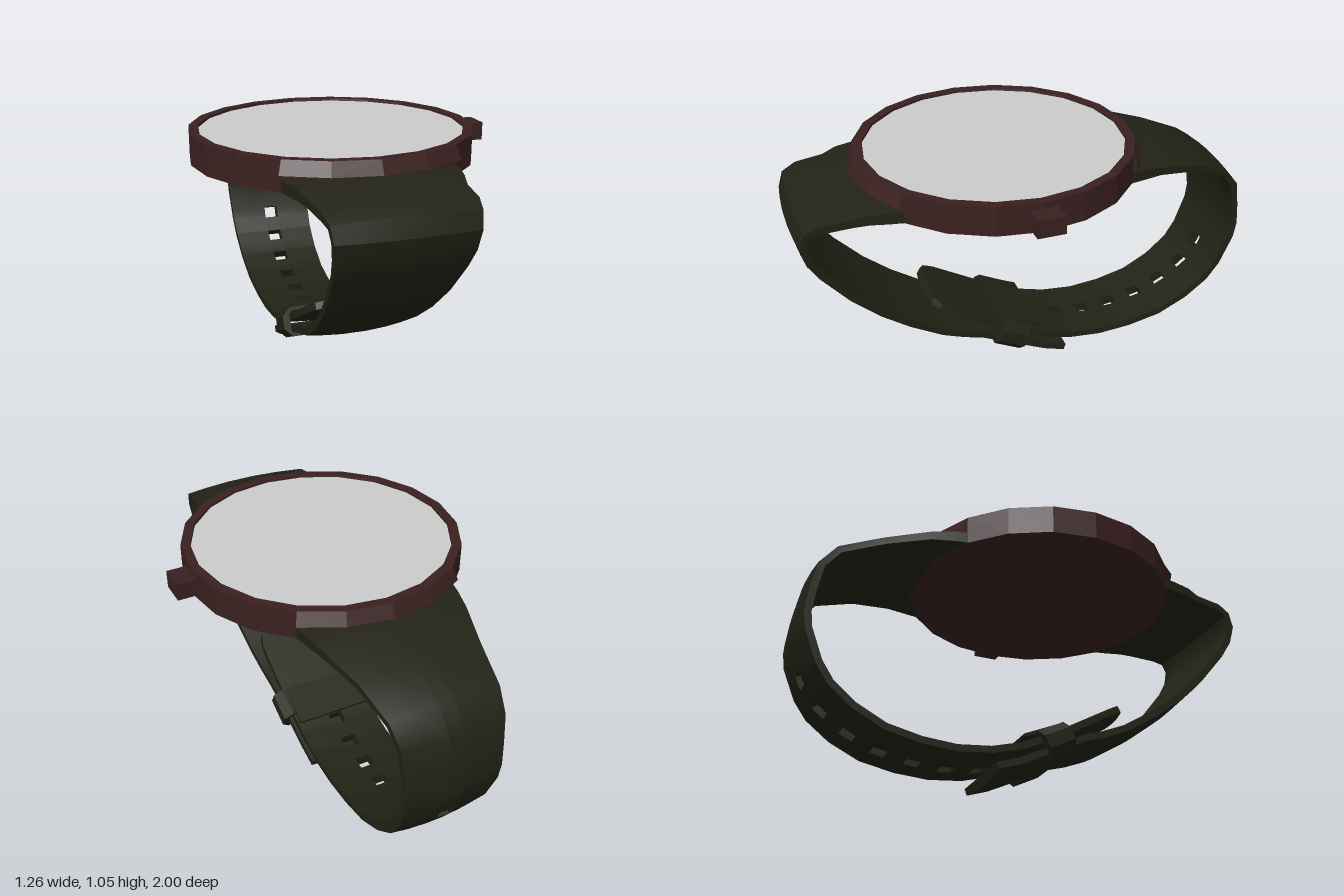
import * as THREE from 'three';
import { toCreasedNormals } from 'three/addons/utils/BufferGeometryUtils.js';

const CX = -0.04, CZ = 0.11; // centre of the case

const strapMat = new THREE.MeshStandardMaterial({ color: 0x222216 });
const caseMat = new THREE.MeshStandardMaterial({ color: 0x3a2020, flatShading: true });
const glassMat = new THREE.MeshStandardMaterial({ color: 0xcccccc });

function add(group, name, geometry, material, x = 0, y = 0, z = 0) {
  const mesh = new THREE.Mesh(geometry, material);
  mesh.name = name;
  mesh.position.set(x, y, z);
  group.add(mesh);
  return mesh;
}

// Stations are [z, y, halfWidth, thickness]; adds arc length and outward normal
function prepare(stations, side) {
  let s = 0;
  return stations.map(([z, y, w, t], i) => {
    const a = stations[Math.max(i - 1, 0)], b = stations[Math.min(i + 1, stations.length - 1)];
    if (i) s += Math.hypot(z - a[0], y - a[1]);
    const dz = b[0] - a[0], dy = b[1] - a[1], l = Math.hypot(dz, dy);
    return { s, z, y, w, t, nz: -side * dy / l, ny: side * dz / l };
  });
}

function stationAt(path, s) {
  let i = 1;
  while (i < path.length - 1 && path[i].s < s) i++;
  const a = path[i - 1], b = path[i], k = (s - a.s) / (b.s - a.s), out = {};
  for (const key in a) out[key] = a[key] + (b[key] - a[key]) * k;
  return out;
}

// Closed sweep from arc length s0 to s1; cols maps a half width to x offsets
function sweep(path, side, cuts, s0, s1, cols) {
  const pos = [];
  const rings = cuts.filter(s => s > s0 - 1e-5 && s < s1 + 1e-5).map(s => {
    const p = stationAt(path, s), xs = cols(p.w);
    const point = (x, outer) => {
      const crown = outer ? 0.35 * p.t * (x / p.w) ** 2 : 0;
      const n = outer ? p.t / 2 - crown : -p.t / 2;
      return [CX + x, p.y + p.ny * n, p.z + p.nz * n];
    };
    return [...xs.map(x => point(x, false)), ...xs.slice().reverse().map(x => point(x, true))];
  });
  const quad = (a, b, c, d) => {
    if (side > 0) pos.push(...a, ...b, ...c, ...a, ...c, ...d);
    else pos.push(...a, ...c, ...b, ...a, ...d, ...c);
  };
  const n = rings[0].length, first = rings[0], last = rings[rings.length - 1];
  for (let r = 0; r < rings.length - 1; r++) {
    for (let i = 0; i < n; i++) {
      const j = (i + 1) % n;
      quad(rings[r][i], rings[r][j], rings[r + 1][j], rings[r + 1][i]);
    }
  }
  for (let j = 0; j < n / 2 - 1; j++) {
    quad(first[j], first[n - 1 - j], first[n - 2 - j], first[j + 1]);
    quad(last[j], last[j + 1], last[n - 2 - j], last[n - 1 - j]);
  }
  const g = new THREE.BufferGeometry();
  g.setAttribute('position', new THREE.Float32BufferAttribute(pos, 3));
  return toCreasedNormals(g, 0.55);
}

// Strap with an optional row of slots down the middle
function makeStrap(name, stations, side, holes = []) {
  const group = new THREE.Group();
  group.name = name;
  const path = prepare(stations, side), end = path[path.length - 1].s;
  const cuts = [...path.map(p => p.s), ...holes.flat()].sort((a, b) => a - b)
    .filter((s, i, all) => !i || s - all[i - 1] > 1e-4);
  if (!holes.length) {
    add(group, 'strapBand', sweep(path, side, cuts, 0, end,
      w => [-1, -0.65, -0.25, 0.25, 0.65, 1].map(k => k * w)), strapMat);
    return group;
  }
  const slot = 0.033;
  add(group, 'strapRightRail', sweep(path, side, cuts, 0, end, w => [-w, -0.6 * w, -slot]), strapMat);
  add(group, 'strapLeftRail', sweep(path, side, cuts, 0, end, w => [slot, 0.6 * w, w]), strapMat);
  let from = 0;
  for (const [a, b] of [...holes, [end, end]]) {
    add(group, 'strapBridge', sweep(path, side, cuts, from, a, () => [-slot, slot]), strapMat);
    from = b;
  }
  return group;
}

export function createModel() {
  const model = new THREE.Group();
  model.name = 'wristwatch';

  // Twenty-sided case with a raised rim
  const profile = [[0, 0.93], [0.59, 0.93], [0.59, 1.055], [0.55, 1.055], [0.548, 1.042]]
    .map(p => new THREE.Vector2(...p));
  add(model, 'case', new THREE.LatheGeometry(profile, 20), caseMat, CX, 0, CZ);
  const glass = new THREE.CircleGeometry(0.55, 20).rotateX(-Math.PI / 2);
  add(model, 'glass', glass, glassMat, CX, 1.045, CZ);

  // Sloping lips of the case above each strap
  for (const centre of [0, Math.PI]) {
    const lip = new THREE.CylinderGeometry(0.59, 0.617, 0.055, 4, 1, true, centre - Math.PI / 5, Math.PI * 0.4);
    const lipMat = caseMat.clone();
    lipMat.side = THREE.DoubleSide;
    add(model, 'caseLip', lip, lipMat, CX, 1.0275, CZ);
  }

  // Crown
  add(model, 'crown', new THREE.BoxGeometry(0.1, 0.075, 0.115), caseMat, 0.58, 0.992, 0.11);

  // Short strap at the front, running under the buckle
  model.add(makeStrap('frontStrap', [
    [0.57, 0.967, 0.352, 0.072], [0.64, 0.967, 0.34, 0.072], [0.72, 0.964, 0.322, 0.066],
    [0.78, 0.948, 0.306, 0.05], [0.9, 0.936, 0.295, 0.048], [0.955, 0.91, 0.283, 0.048],
    [0.975, 0.85, 0.276, 0.048], [0.955, 0.77, 0.268, 0.046], [0.91, 0.695, 0.258, 0.046],
    [0.8, 0.56, 0.244, 0.046], [0.68, 0.445, 0.229, 0.046], [0.56, 0.355, 0.217, 0.046],
    [0.42, 0.27, 0.206, 0.046], [0.32, 0.229, 0.2, 0.046], [0.24, 0.205, 0.197, 0.046],
    [0.1, 0.136, 0.19, 0.046], [-0.06, 0.06, 0.186, 0.046], [-0.155, 0.029, 0.185, 0.046],
  ], 1));

  // Long slotted strap at the back, passing through the buckle
  const holes = Array.from({ length: 9 }, (_, i) => [1.04 + i * 0.14, 1.1 + i * 0.14]);
  model.add(makeStrap('backStrap', [
    [-0.35, 0.967, 0.352, 0.072], [-0.42, 0.967, 0.34, 0.072], [-0.52, 0.955, 0.318, 0.054],
    [-0.7, 0.912, 0.268, 0.046], [-0.875, 0.845, 0.238, 0.046], [-0.942, 0.765, 0.225, 0.046],
    [-0.965, 0.65, 0.216, 0.046], [-0.977, 0.55, 0.211, 0.046], [-0.968, 0.48, 0.208, 0.046],
    [-0.915, 0.345, 0.202, 0.046], [-0.86, 0.265, 0.198, 0.046], [-0.76, 0.185, 0.194, 0.046],
    [-0.63, 0.12, 0.19, 0.046], [-0.48, 0.088, 0.187, 0.046], [-0.33, 0.077, 0.185, 0.046],
    [-0.18, 0.092, 0.185, 0.046], [-0.05, 0.128, 0.185, 0.046], [0.1, 0.195, 0.185, 0.046],
    [0.37, 0.348, 0.183, 0.046], [0.42, 0.377, 0.165, 0.046], [0.443, 0.391, 0.125, 0.046],
  ], -1, holes));

  // Buckle: a hollow loop round both straps, with a flap on top
  const buckle = new THREE.Group();
  buckle.name = 'buckle';
  buckle.position.set(CX, 0.18, 0.1);
  buckle.rotation.x = -0.46;
  const outline = (w, h, c) => [
    [-w, -h + c], [-w + c, -h], [w - c, -h], [w, -h + c],
    [w, h - c], [w - c, h], [-w + c, h], [-w, h - c],
  ].map(p => new THREE.Vector2(...p));
  const loop = new THREE.Shape(outline(0.23, 0.063, 0.035));
  loop.holes.push(new THREE.Path(outline(0.2, 0.048, 0.012)));
  const loopGeo = new THREE.ExtrudeGeometry(loop, { depth: 0.13, bevelEnabled: false });
  add(buckle, 'buckleLoop', toCreasedNormals(loopGeo, 0.5), strapMat, 0, 0, -0.065);
  const flap = add(buckle, 'buckleFlap', new THREE.BoxGeometry(0.36, 0.014, 0.18), strapMat, 0, 0.062, -0.03);
  flap.rotation.x = 0.05;
  model.add(buckle);

  return model;
}
